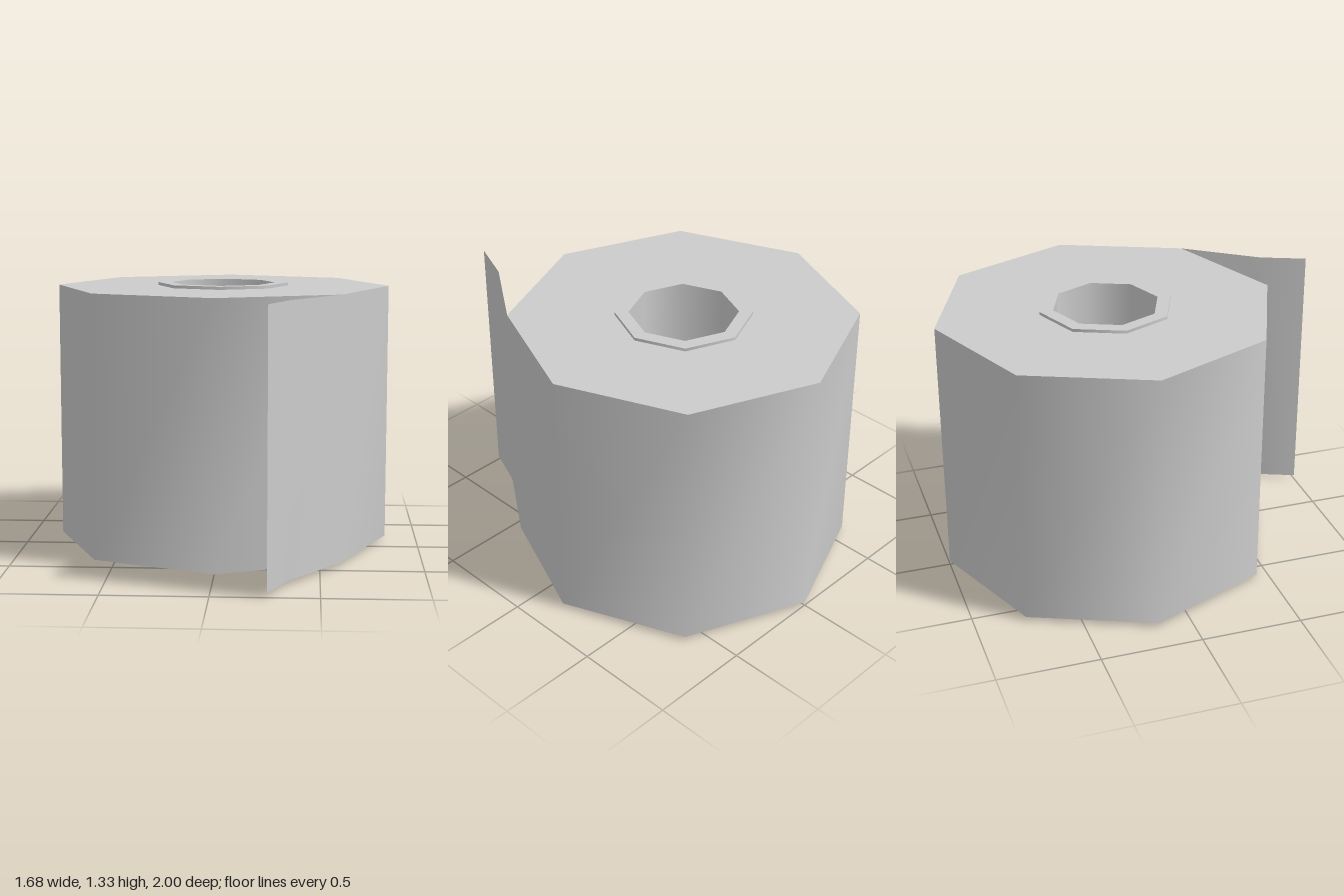
import * as THREE from 'three';
import { mergeGeometries } from 'three/addons/utils/BufferGeometryUtils.js';

const SIDES = 8, CZ = -0.16;
const ROLL_R = 0.84, CORE_OUT = 0.33, CORE_IN = 0.263;
const HEIGHT = 1.33, LOW = 0.02, HIGH = 1.315;

// One revolved band between two profile points; the direction of travel sets its outward side
function band(r1, y1, r2, y2) {
  return new THREE.LatheGeometry([new THREE.Vector2(r1, y1), new THREE.Vector2(r2, y2)], SIDES);
}

// Upright strip of paper following a path of [x, z] points
function strip(path, y0, y1) {
  const pos = [], index = [];
  path.forEach(([x, z], i) => {
    pos.push(x, y0, z, x, y1, z);
    if (i) {
      const a = 2 * (i - 1);
      index.push(a, a + 1, a + 2, a + 1, a + 3, a + 2);
    }
  });
  const g = new THREE.BufferGeometry();
  g.setAttribute('position', new THREE.Float32BufferAttribute(pos, 3));
  g.setIndex(index);
  g.computeVertexNormals();
  return g;
}

export function createModel() {
  const group = new THREE.Group();
  const material = new THREE.MeshStandardMaterial({ color: 0xcccccc, side: THREE.DoubleSide });
  const add = (geometry, name, z) => {
    const mesh = new THREE.Mesh(geometry, material);
    mesh.name = name;
    mesh.position.z = z;
    group.add(mesh);
  };

  // Cardboard tube, standing slightly proud of the paper at both ends
  add(mergeGeometries([
    band(CORE_OUT, 0, CORE_OUT, HEIGHT),
    band(CORE_OUT, HEIGHT, CORE_IN, HEIGHT),
    band(CORE_IN, HEIGHT, CORE_IN, 0),
    band(CORE_IN, 0, CORE_OUT, 0),
  ]), 'cardboardCore', CZ);

  // Flat ends of the wound paper
  add(band(ROLL_R, HIGH, CORE_OUT, HIGH), 'rollTop', CZ);
  add(band(CORE_OUT, LOW, ROLL_R, LOW), 'rollBottom', CZ);

  // Outer layer: once round the roll from the front left corner, then the loose end
  const path = [];
  for (let i = 0; i <= SIDES; i++) {
    const a = Math.PI / 4 - (i / SIDES) * Math.PI * 2;
    path.push([ROLL_R * Math.sin(a), CZ + ROLL_R * Math.cos(a)]);
  }
  path.push([0.35, 0.78], [0.26, 1]);
  add(strip(path, LOW, HIGH), 'paperSheet', 0);

  return group;
}
